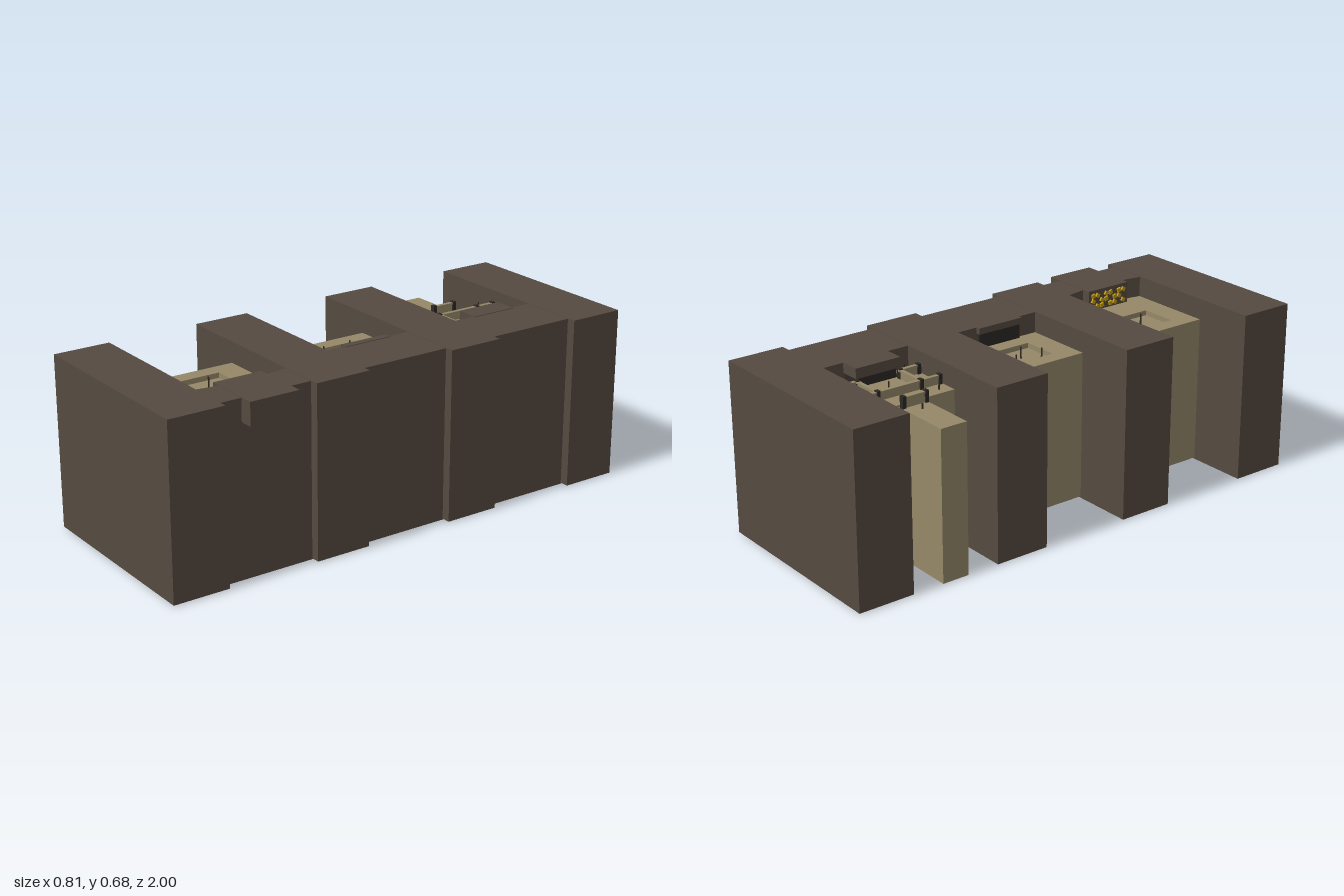
import * as THREE from 'three';

const mat = (color) => new THREE.MeshStandardMaterial({ color, side: THREE.DoubleSide });

export function createModel() {
  const root = new THREE.Group();
  const brown = mat(0x554a40), tan = mat(0x958768), dark = mat(0x2c2825), gold = mat(0xc09a10);

  // box given by its minimum and maximum corners
  const box = (name, m, x0, x1, y0, y1, z0, z1) => {
    const mesh = new THREE.Mesh(new THREE.BoxGeometry(x1 - x0, y1 - y0, z1 - z0), m);
    mesh.position.set((x0 + x1) / 2, (y0 + y1) / 2, (z0 + z1) / 2);
    mesh.name = name;
    root.add(mesh);
    return mesh;
  };

  // horizontal slab from an [x, z] outline, with an optional rectangular hole
  const slab = (name, m, pts, y0, y1, hole) => {
    const toShape = (C, p) => new C(p.map(([x, z]) => new THREE.Vector2(x, -z)));
    const shape = toShape(THREE.Shape, pts);
    if (hole) shape.holes.push(toShape(THREE.Path, hole));
    const geo = new THREE.ExtrudeGeometry(shape, { depth: y1 - y0, bevelEnabled: false });
    const mesh = new THREE.Mesh(geo.rotateX(-Math.PI / 2), m);
    mesh.position.y = y0;
    mesh.name = name;
    root.add(mesh);
  };
  const rect = (x0, x1, z0, z1) => [[x0, z0], [x1, z0], [x1, z1], [x0, z1]];

  const pin = (x, z, y, h = 0.04) => {
    const mesh = new THREE.Mesh(new THREE.CylinderGeometry(0.003, 0.004, h, 6), dark);
    mesh.position.set(x, y + h / 2, z);
    mesh.name = 'pin';
    root.add(mesh);
  };

  const H = 0.68, D = 0.597, FRONT = -0.163;

  // four cross walls
  for (const [z0, z1] of [[-1, -0.775], [-0.41, -0.187], [0.18, 0.405], [0.775, 1]])
    box('crossWall', brown, -0.41, 0.386, 0.004, H, z0, z1);

  // long spine, full height behind the rear bays and cut back above the front deck
  box('spine', brown, 0.12, 0.35, 0, D - 0.02, -0.99, 0.99);
  box('spineTop', brown, 0.12, 0.35, D - 0.02, H - 0.002, -0.99, 0.2);
  slab('frontSpineTop', brown, [[0.19, 0.4], [0.205, 0.49], [0.205, 0.69], [0.19, 0.78],
    [0.35, 0.78], [0.35, 0.4]], D - 0.02, H - 0.002);

  // decks with shallow trays, closed by a thin facing panel; hollow underneath
  const bays = [[-0.775, -0.41, 0.12, false], [-0.187, 0.18, 0.12, true], [0.405, 0.775, 0.205, true]];
  for (const [z0, z1, x1, tray] of bays) {
    const c = (z0 + z1) / 2;
    const hole = rect(-0.1, 0.045, c - 0.09, c + 0.09);
    slab('deck', tan, rect(FRONT, x1, z0, z1), D - 0.02, D, tray ? hole : null);
    box('facingPanel', tan, FRONT, FRONT + 0.006, 0.01, D - 0.02, z0, z1);
    if (tray) {
      box('trayFloor', tan, -0.11, 0.055, D - 0.028, D - 0.02, c - 0.1, c + 0.1);
      pin(-0.025, c, D - 0.02, 0.045);
    }
  }
  box('middleUnderBox', tan, -0.1, 0.045, 0.12, D - 0.028, -0.09, 0.09);

  // loose pins on the decks
  for (const s of [-1, 1]) {
    pin(-0.07, s * 0.06, D - 0.02, 0.04);
    for (const x of [-0.13, 0.085]) pin(x, -0.593 + s * 0.14, D, 0.03);
  }
  pin(-0.02, -0.593, D, 0.03);
  pin(-0.225, -0.593, 0.59, 0.02);

  // projecting consoles with dark panels
  box('rearConsole', brown, 0.04, 0.13, 0.64, H, -0.69, -0.5);
  box('rearConsolePanel', dark, 0.06, 0.13, D, 0.64, -0.685, -0.505);
  box('middleConsole', brown, 0.1, 0.13, 0.655, H, -0.1, 0.1);
  box('middleConsolePanel', dark, 0.108, 0.13, D, 0.655, -0.095, 0.095);
  box('frontConsole', brown, 0.17, 0.405, 0.59, H, 0.49, 0.69);

  // gilded ornament on the front console
  for (let i = 0; i < 8; i++)
    for (let j = 0; j < 3; j++)
      if ((i * 2 + j) % 3) {
        const tile = box('ornament', gold, 0.162, 0.171, 0.606 + j * 0.022, 0.622 + j * 0.022,
          0.503 + i * 0.022, 0.519 + i * 0.022);
        tile.rotation.x = (i + j) % 2 ? 0.5 : -0.3;
      }

  // outer column standing before the rear bay
  box('column', tan, -0.41, FRONT, 0.004, 0.59, -0.65, -0.54);

  // rail frame on the rear deck: web with a wider cap and a collar at each end
  const rail = (x0, x1, z0, z1) => {
    const alongX = x1 - x0 > z1 - z0, a = alongX ? 0 : 0.008, b = alongX ? 0.008 : 0;
    box('railWeb', tan, x0 - a / 2, x1 + a / 2, 0.588, 0.625, z0 - b / 2, z1 + b / 2);
    box('railCap', tan, x0 - a, x1 + a, 0.625, 0.632, z0 - b, z1 + b);
    for (const [x, z] of [[x0, z0], [x1, z1]])
      box('railCollar', dark, x - 0.01, x + 0.01, 0.588, 0.636, z - 0.007, z + 0.007);
  };
  rail(-0.085, -0.085, -0.765, -0.42);
  for (const s of [-1, 1]) {
    const z = -0.593 + s * 0.092, e = -0.593 + s * 0.172;
    rail(-0.085, 0.043, z, z);
    rail(0.043, 0.043, Math.min(z, e), Math.max(z, e));
  }
  rail(-0.18, -0.18, -0.643, -0.547);

  return root;
}
